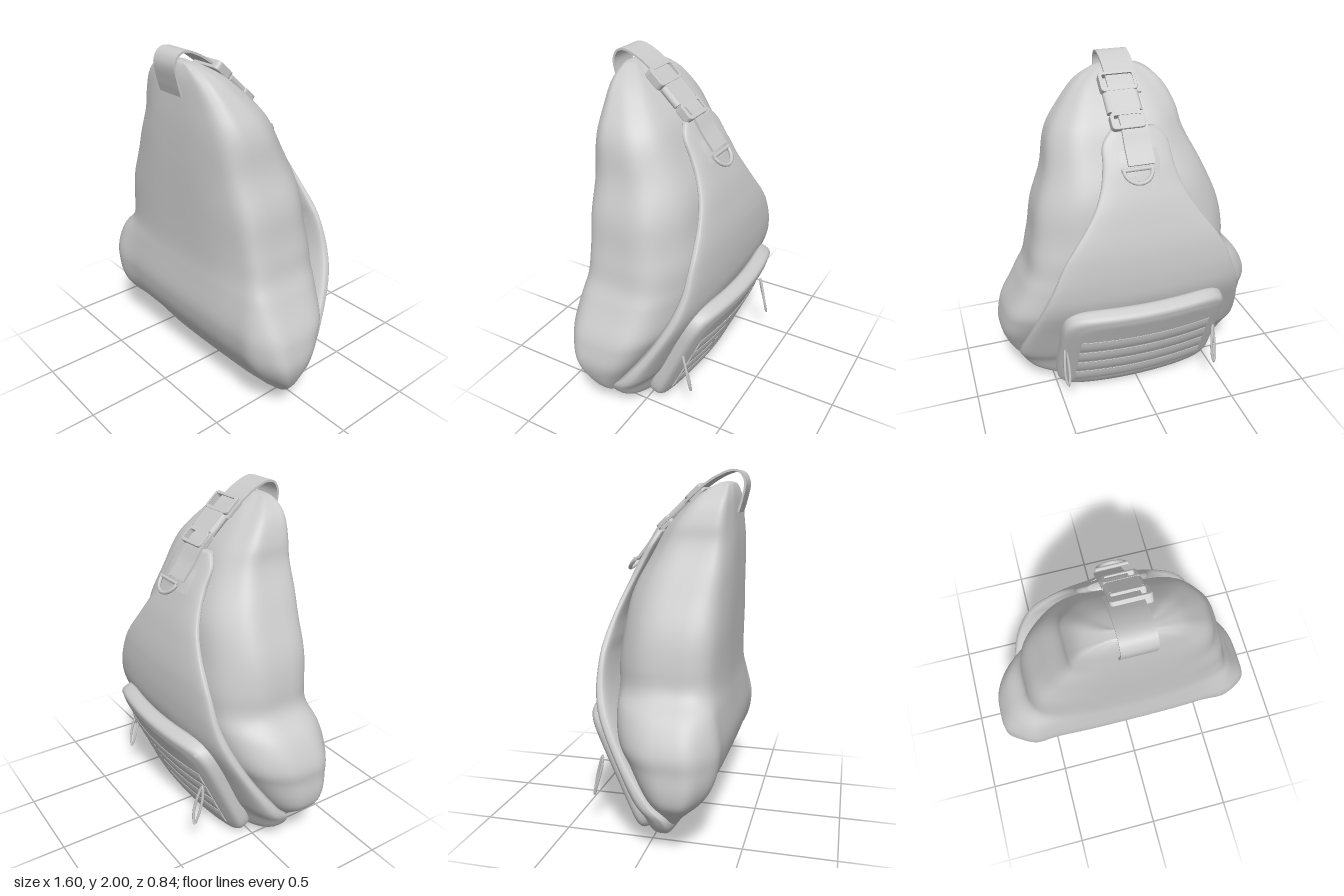
import * as THREE from 'three';
import { mergeVertices } from 'three/addons/utils/BufferGeometryUtils.js';

const material = new THREE.MeshStandardMaterial({ color: 0xcccccc, side: THREE.DoubleSide });
const SLOPE = -0.76; // tilt of the hardware on the upper back

function add(parent, name, geometry) {
  const mesh = new THREE.Mesh(geometry, material);
  mesh.name = name;
  parent.add(mesh);
  return mesh;
}

const spow = (v, e) => Math.sign(v) * Math.abs(v) ** e;

// Closed skin through smoothly interpolated rows, listed top to bottom
function loft(rows, section, steps = 90, around = 128) {
  const size = rows[0].length;
  const spline = new THREE.CubicInterpolant(rows.map((_, i) => i), rows.flat(), size, new Float32Array(size));
  const pos = [], index = [];
  for (let i = 0; i <= steps; i++) {
    const row = Array.from(spline.evaluate((i / steps) * (rows.length - 1)));
    for (let j = 0; j < around; j++) pos.push(...section(row, (j / around) * Math.PI * 2));
  }
  const at = (i, j) => i * around + (j % around);
  const caps = [0, steps].map((i) => {
    const c = [0, 0, 0];
    for (let j = 0; j < around; j++) for (let k = 0; k < 3; k++) c[k] += pos[at(i, j) * 3 + k] / around;
    pos.push(...c);
    return pos.length / 3 - 1;
  });
  for (let j = 0; j < around; j++) {
    for (let i = 0; i < steps; i++) {
      index.push(at(i, j), at(i, j + 1), at(i + 1, j), at(i, j + 1), at(i + 1, j + 1), at(i + 1, j));
    }
    index.push(caps[0], at(0, j + 1), at(0, j), caps[1], at(steps, j), at(steps, j + 1));
  }
  const g = new THREE.BufferGeometry();
  g.setAttribute('position', new THREE.Float32BufferAttribute(pos, 3));
  g.setIndex(index);
  g.computeVertexNormals();
  return g;
}

// Moves every vertex by a rule
function warp(geometry, rule, smooth = false) {
  let g = geometry;
  if (smooth) {
    g.deleteAttribute('uv');
    g.deleteAttribute('normal');
    g = mergeVertices(g);
  }
  const p = g.attributes.position;
  for (let i = 0; i < p.count; i++) p.setXYZ(i, ...rule(p.getX(i), p.getY(i), p.getZ(i)));
  g.computeVertexNormals();
  return g;
}

// Flat webbing following [y, z] points, its edges bent towards the front by curl
function webbing(width, thick, points, curl = 0) {
  const curve = new THREE.CatmullRomCurve3(points.map(([y, z]) => new THREE.Vector3(0, y, z)));
  return warp(new THREE.BoxGeometry(width, thick, 1, 10, 1, 32), (x, y, z) => {
    const t = THREE.MathUtils.clamp(z + 0.5, 0, 1);
    const c = curve.getPoint(t), d = curve.getTangent(t);
    return [x, c.y + d.z * y, c.z - d.y * y + curl * x * x];
  });
}

// Rectangular buckle frame lying flat, with one slot
function slottedFrame(w, l, bar, thick) {
  const rect = (P, a, b, r) => {
    const p = new P();
    p.moveTo(-a, -b + r).lineTo(-a, b - r).quadraticCurveTo(-a, b, -a + r, b)
      .lineTo(a - r, b).quadraticCurveTo(a, b, a, b - r).lineTo(a, -b + r)
      .quadraticCurveTo(a, -b, a - r, -b).lineTo(-a + r, -b).quadraticCurveTo(-a, -b, -a, -b + r);
    return p;
  };
  const shape = rect(THREE.Shape, w / 2, l / 2, 0.02);
  shape.holes.push(rect(THREE.Path, w / 2 - bar, l / 2 - bar, 0.01));
  const g = new THREE.ExtrudeGeometry(shape, { depth: thick, bevelSize: 0.005, bevelThickness: 0.005, bevelSegments: 2 });
  return g.translate(0, 0, -thick / 2).rotateX(-Math.PI / 2);
}

// Pocket space: u across, v up, w from the panel (-1) to the outer face (1)
function pocketPoint(u, v, w) {
  const out = 0.055 * (w + 1);
  return [u * (0.505 - 0.01 * v), 0.39 + 0.345 * v - 0.41 * out, -0.185 - 0.155 * v + 0.065 * u * u - 0.91 * out];
}

export function createModel() {
  const bag = new THREE.Group();
  bag.name = 'slingBackpack';

  // Main sack: y, width to -x, width to +x, front z, back z
  const sackRows = [
    [1.935, 0.03, 0.03, 0.325, 0.295], [1.92, 0.15, 0.12, 0.345, 0.25], [1.85, 0.25, 0.25, 0.365, 0.14],
    [1.72, 0.315, 0.365, 0.375, 0.02], [1.6, 0.35, 0.43, 0.38, -0.06], [1.4, 0.44, 0.485, 0.38, -0.16],
    [1.2, 0.54, 0.55, 0.375, -0.215], [1.0, 0.58, 0.595, 0.37, -0.235], [0.86, 0.61, 0.62, 0.37, -0.24],
    [0.75, 0.71, 0.68, 0.38, -0.235], [0.6, 0.79, 0.76, 0.395, -0.2], [0.5, 0.8, 0.785, 0.385, -0.15],
    [0.4, 0.8, 0.8, 0.355, -0.09], [0.3, 0.77, 0.78, 0.3, -0.02], [0.2, 0.68, 0.73, 0.22, 0.05],
    [0.13, 0.6, 0.66, 0.175, 0.08], [0.09, 0.48, 0.54, 0.15, 0.1],
  ];
  add(bag, 'mainSack', loft(sackRows, ([y, wl, wr, zf, zb], a) => {
    const c = Math.cos(a), s = Math.sin(a);
    const zm = zb + (zf - zb) * 0.56;
    // Shallow folds, strongest on the sides and back
    const fold = 0.009 * Math.sin(7 * y + 4 * a) * Math.sin(10 * y - 3 * a + 1) * (s > 0 ? c * c : 1);
    const x = (c > 0 ? wr : wl) * spow(c, s > 0 ? 0.65 : 0.62);
    // Padded corners at the lower front
    const pad = 0.035 * Math.exp(-(((Math.abs(x) - 0.64) / 0.1) ** 2)) * Math.max(0, s)
      * THREE.MathUtils.smoothstep(y, 0.1, 0.3);
    const z = zm + (s > 0 ? (zf - zm) * s ** 0.46 : -(zm - zb) * (-s) ** 0.68);
    // The lower edge rises slightly towards the sides
    const lift = 0.06 * x * x * (1 - THREE.MathUtils.smoothstep(y, 0.09, 0.4));
    return [x + c * fold, y + lift, z + s * fold + pad];
  }));

  // Back panel and base: y, half width, edge z, back z, inner z
  const panelRows = [
    [1.67, 0.13, -0.06, -0.08, -0.03], [1.6, 0.185, -0.09, -0.12, -0.06], [1.5, 0.2, -0.14, -0.18, -0.11],
    [1.4, 0.225, -0.19, -0.225, -0.16], [1.3, 0.27, -0.235, -0.265, -0.2], [1.2, 0.335, -0.265, -0.295, -0.23],
    [1.1, 0.41, -0.285, -0.32, -0.24], [1.0, 0.475, -0.29, -0.335, -0.25], [0.85, 0.54, -0.285, -0.34, -0.23],
    [0.7, 0.6, -0.24, -0.32, -0.18], [0.5, 0.66, -0.135, -0.23, -0.08], [0.3, 0.705, 0.0, -0.15, 0.06],
    [0.2, 0.69, 0.08, -0.1, 0.15], [0.1, 0.61, 0.08, -0.06, 0.15], [0.04, 0.45, 0.05, -0.04, 0.09],
    [0.002, 0.1, 0.025, 0.0, 0.04],
  ];
  add(bag, 'backPanel', loft(panelRows, ([y, w, ze, zb, zf], a) => {
    const s = Math.sin(a);
    const z = s > 0 ? ze + (zf - ze) * s ** 0.5 : ze + (zb - ze) * (-s) ** 0.8;
    return [w * spow(Math.cos(a), 0.85), y, z];
  }));

  // Outer pocket with rounded corners and edges
  const pocket = new THREE.Group();
  pocket.name = 'outerPocket';
  bag.add(pocket);
  add(pocket, 'pocketShell', warp(new THREE.BoxGeometry(2, 2, 2, 40, 40, 8), (x, y, z) => {
    const m = Math.max(Math.abs(x), Math.abs(y));
    const k = m ? m / (Math.abs(x) ** 7 + Math.abs(y) ** 7) ** (1 / 7) : 1;
    const inset = k * (1 - 0.035 * m * z ** 4);
    const drop = 1 - 0.16 * THREE.MathUtils.smoothstep(m, 0.85, 1);
    return pocketPoint(x * inset, y * inset, z * drop);
  }, true));

  // Webbing rows across the pocket
  for (let i = 0; i < 4; i++) {
    add(pocket, 'pocketWebbing', warp(new THREE.BoxGeometry(1.6, 0.27, 0.3, 24, 6, 1), (x, y, z) =>
      pocketPoint(x, y + 0.3 - i * 0.31, z + 1.0 - 6 * y * y)));
  }

  // Looped zip cords hanging at both ends of the pocket
  for (const [x, z] of [[0.48, -0.25], [-0.43, -0.32]]) {
    const loop = [[0, 0.43, 0.01], [0.012, 0.36, -0.015], [0.016, 0.25, -0.04], [0, 0.19, -0.045],
      [-0.012, 0.25, -0.025], [-0.01, 0.36, 0.005]].map(([dx, y, dz]) => new THREE.Vector3(x + dx, y, z + dz));
    add(pocket, 'zipCord', new THREE.TubeGeometry(new THREE.CatmullRomCurve3(loop, true), 40, 0.008, 6, true));
  }

  // Top grab loop running back to the buckle, and the webbing below it
  add(bag, 'grabLoop', webbing(0.18, 0.012, [[1.77, 0.375], [1.84, 0.395], [1.93, 0.41], [1.98, 0.385],
    [1.993, 0.34], [1.96, 0.25], [1.89, 0.15], [1.82, 0.075]]));
  add(bag, 'lowerWebbing', webbing(0.15, 0.014, [[1.75, 0.0], [1.685, -0.075], [1.6, -0.13], [1.51, -0.2]]));
  add(bag, 'panelBand', webbing(0.34, 0.012, [[1.57, -0.143], [1.51, -0.18], [1.45, -0.209]], 1.3));

  // Side release buckle
  const buckle = new THREE.Group();
  buckle.name = 'buckle';
  buckle.position.set(0.03, 1.79, 0.045);
  buckle.rotation.x = SLOPE;
  bag.add(buckle);
  add(buckle, 'upperFrame', slottedFrame(0.2, 0.11, 0.014, 0.04)).position.z = 0.115;
  add(buckle, 'lowerFrame', slottedFrame(0.18, 0.09, 0.014, 0.04)).position.z = -0.125;
  add(buckle, 'buckleBody', new THREE.BoxGeometry(0.16, 0.045, 0.15)).position.z = -0.01;
  for (const side of [-1, 1]) {
    add(buckle, 'releaseTab', new THREE.CylinderGeometry(0.024, 0.024, 0.12, 12).rotateX(Math.PI / 2))
      .position.set(side * 0.078, 0, -0.01);
  }

  // D-shaped ring hanging from the webbing
  const ring = new THREE.Group();
  ring.name = 'dRing';
  ring.position.set(0.03, 1.5, -0.225);
  ring.rotation.x = SLOPE - 0.1;
  bag.add(ring);
  add(ring, 'ringArc', new THREE.TorusGeometry(0.08, 0.011, 8, 28, Math.PI).rotateX(-Math.PI / 2));
  add(ring, 'ringBar', new THREE.CylinderGeometry(0.011, 0.011, 0.18, 8).rotateZ(Math.PI / 2));

  return bag;
}
